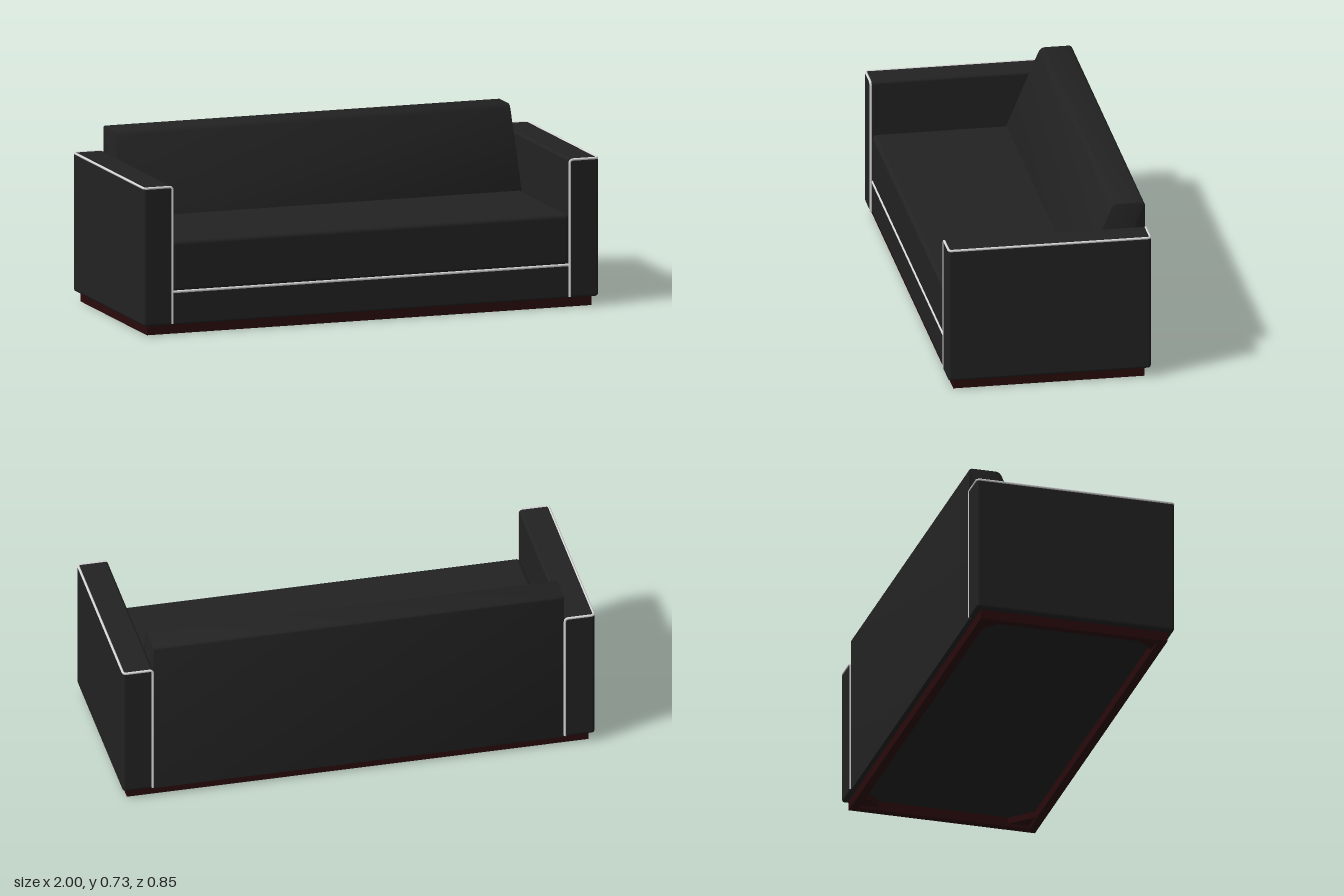
import * as THREE from 'three';
import { toCreasedNormals } from 'three/addons/utils/BufferGeometryUtils.js';
import { RoundedBoxGeometry } from 'three/addons/geometries/RoundedBoxGeometry.js';

const mat = (name, color, side = THREE.FrontSide) =>
  new THREE.MeshStandardMaterial({ name, color, side });

export function createModel() {
  const leather = mat('black leather', 0x222222);
  const trim = mat('pale piping', 0xd8d8d8);
  const wood = mat('dark red wood', 0x2a0a0b);

  const sofa = new THREE.Group();
  sofa.name = 'sofa';
  const add = (name, geometry, material) => {
    const mesh = new THREE.Mesh(geometry, material);
    mesh.name = name;
    sofa.add(mesh);
    return mesh;
  };
  // Box given by its minimum and maximum corners, optionally rounded
  const block = (name, material, a, b, radius = 0) => {
    const size = b.map((v, i) => v - a[i]);
    const geometry = radius
      ? new RoundedBoxGeometry(...size, 3, radius)
      : new THREE.BoxGeometry(...size);
    add(name, geometry, material).position.set(...a.map((v, i) => (v + b[i]) / 2));
  };
  // Piping that follows straight runs with small rounded corners
  const piping = (name, points, radius, bend = 0.014) => {
    const pts = points.map((p) => new THREE.Vector3(...p));
    const path = new THREE.CurvePath();
    let start = pts[0];
    for (let i = 1; i < pts.length - 1; i++) {
      const toward = (q) => pts[i].clone().add(q.clone().sub(pts[i]).setLength(bend));
      const before = toward(pts[i - 1]);
      const after = toward(pts[i + 1]);
      path.add(new THREE.LineCurve3(start, before));
      path.add(new THREE.QuadraticBezierCurve3(before, pts[i], after));
      start = after;
    }
    path.add(new THREE.LineCurve3(start, pts[pts.length - 1]));
    add(name, new THREE.TubeGeometry(path, points.length > 2 ? 320 : 1, radius, 8), trim);
  };

  // Arms, each with one run of piping up the front, round the outer top and down the back
  for (const s of [-1, 1]) {
    const side = s > 0 ? 'left' : 'right';
    const [x0, x1] = s > 0 ? [0.868, 0.997] : [-0.997, -0.868];
    block(`${side}Arm`, leather, [x0, 0.04, -0.424], [x1, 0.622, 0.424], 0.012);
    const xi = s * 0.871, xo = s * 0.994, top = 0.619, z = 0.421;
    piping(`${side}ArmPiping`, [
      [xi, 0.045, z], [xi, top, z], [xo, top, z],
      [xo, top, -z], [xi, top, -z], [xi, 0.045, -z],
    ], 0.0055);
  }

  // Seat: lower front rail, cushion and the piping between them
  block('seatBase', leather, [-0.872, 0.04, -0.4], [0.872, 0.178, 0.416], 0.008);
  block('seatCushion', leather, [-0.872, 0.176, -0.3], [0.872, 0.39, 0.416], 0.018);
  piping('seatPiping', [[-0.868, 0.177, 0.413], [0.868, 0.177, 0.413]], 0.006);

  // Sloping backrest, drawn in side profile (z, y) and extruded across x
  const profile = new THREE.Shape();
  profile.moveTo(-0.417, 0.044);
  profile.lineTo(-0.417, 0.71);
  profile.quadraticCurveTo(-0.417, 0.724, -0.403, 0.724);
  profile.lineTo(-0.308, 0.724);
  profile.quadraticCurveTo(-0.291, 0.724, -0.283, 0.708);
  profile.lineTo(-0.148, 0.388);
  profile.lineTo(-0.148, 0.044);
  const backGeometry = new THREE.ExtrudeGeometry(profile, {
    depth: 1.728, curveSegments: 6,
    bevelEnabled: true, bevelThickness: 0.004, bevelSize: 0.004, bevelSegments: 2,
  });
  backGeometry.translate(0, 0, -0.864);
  backGeometry.rotateY(-Math.PI / 2);
  add('backrest', toCreasedNormals(backGeometry, 0.6), leather);

  // Plinth: an open frame with corner braces under the body
  const frame = new THREE.Shape([
    [-0.975, -0.4], [0.975, -0.4], [0.975, 0.4], [-0.975, 0.4],
  ].map((p) => new THREE.Vector2(...p)));
  frame.holes.push(new THREE.Path([
    [-0.94, -0.365], [-0.94, 0.365], [0.94, 0.365], [0.94, -0.365],
  ].map((p) => new THREE.Vector2(...p))));
  const flat = (shape, depth, y) => new THREE.ExtrudeGeometry(shape, { depth, bevelEnabled: false })
    .rotateX(-Math.PI / 2).translate(0, y, 0);
  add('plinthFrame', flat(frame, 0.044, 0), wood);
  for (const sx of [-1, 1]) {
    for (const sz of [-1, 1]) {
      const brace = new THREE.Shape([
        [0.942, 0.367], [0.85, 0.367], [0.942, 0.275],
      ].map(([x, y]) => new THREE.Vector2(sx * x, sz * y)));
      add('cornerBrace', flat(brace, 0.03, 0.012), wood);
    }
  }
  return sofa;
}
